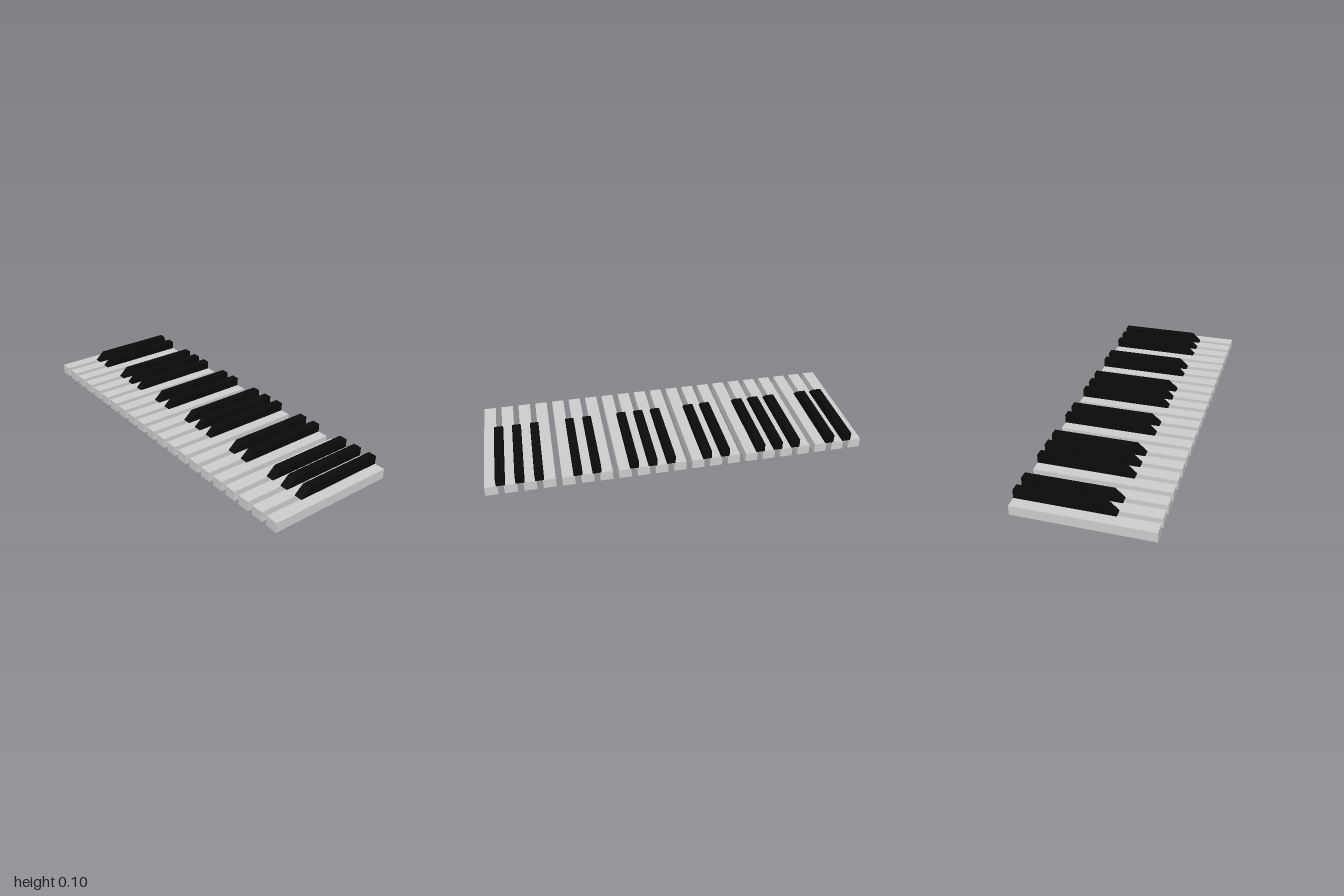
import * as THREE from 'three';

const KEYS = 21, WIDTH = 0.0655, PITCH = (2 - WIDTH) / (KEYS - 1);
const HEIGHT = 0.0525, DEPTH = 0.702, BACK = -DEPTH / 2;
const SHARP_WIDTH = 0.0455, SHARP_TOP = 0.0978;

export function createModel() {
  const keyboard = new THREE.Group();
  keyboard.name = 'keyboard';
  const whiteMaterial = new THREE.MeshStandardMaterial({ color: 0xcccccc, flatShading: true });
  const blackMaterial = new THREE.MeshStandardMaterial({ color: 0x0a0a0a, flatShading: true });

  const whiteGeometry = new THREE.BoxGeometry(WIDTH, HEIGHT, DEPTH);

  // Black key: side profile with a sloped front, extruded across the key's width
  const profile = new THREE.Shape([
    [BACK, HEIGHT], [0.147, HEIGHT], [0.097, SHARP_TOP], [BACK, SHARP_TOP],
  ].map(([z, y]) => new THREE.Vector2(z, y)));
  const blackGeometry = new THREE.ExtrudeGeometry(profile, { depth: SHARP_WIDTH, bevelEnabled: false });
  blackGeometry.translate(0, 0, -SHARP_WIDTH / 2).rotateY(-Math.PI / 2);

  for (let i = 0; i < KEYS; i++) {
    const x = (i - (KEYS - 1) / 2) * PITCH;
    const white = new THREE.Mesh(whiteGeometry, whiteMaterial);
    white.name = `whiteKey${i + 1}`;
    white.position.set(x, HEIGHT / 2, 0);
    keyboard.add(white);

    // Each octave has sharps after all but its third and seventh white keys
    if (![2, 6].includes(i % 7)) {
      const black = new THREE.Mesh(blackGeometry, blackMaterial);
      black.name = `blackKey${i + 1}`;
      black.position.x = x + PITCH / 2;
      keyboard.add(black);
    }
  }
  return keyboard;
}
